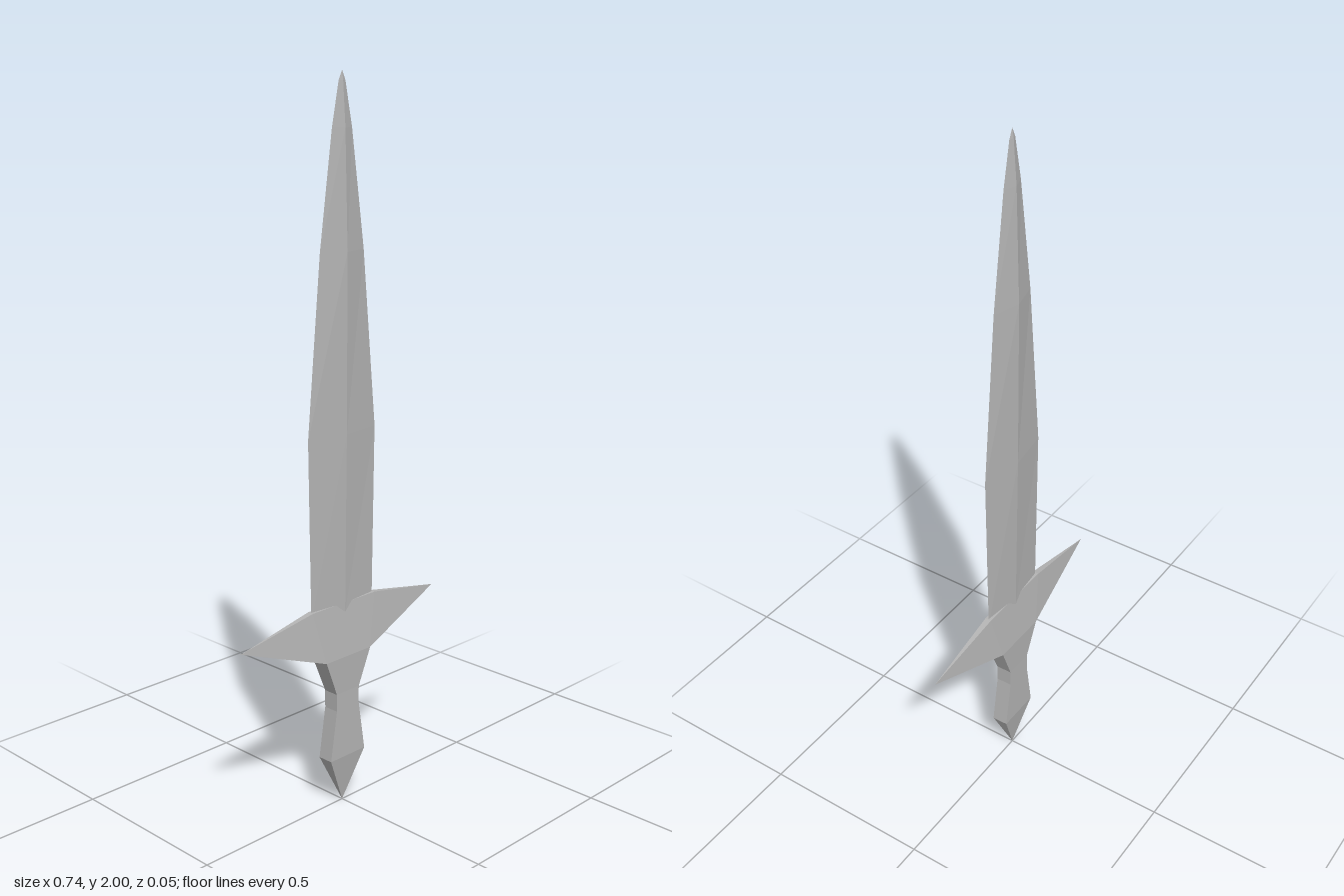
import * as THREE from 'three';
import { ConvexGeometry } from 'three/addons/geometries/ConvexGeometry.js';

// Stack cross-sections [y, halfWidth, halfDepth] of a given outline into a faceted solid
function loft(sections, outline) {
  const rings = sections.map(([y, w, d]) => outline.map(([x, z]) => [x * w, y, z * d]));
  const pos = [];
  const n = outline.length;
  for (let i = 0; i < rings.length - 1; i++) {
    for (let j = 0; j < n; j++) {
      const k = (j + 1) % n;
      const a = rings[i][j], b = rings[i][k], c = rings[i + 1][k], d = rings[i + 1][j];
      pos.push(...a, ...b, ...c, ...a, ...c, ...d);
    }
  }
  const geometry = new THREE.BufferGeometry();
  geometry.setAttribute('position', new THREE.Float32BufferAttribute(pos, 3));
  geometry.computeVertexNormals();
  return geometry;
}

export function createModel() {
  const model = new THREE.Group();
  model.name = 'dagger';
  const steel = new THREE.MeshStandardMaterial({ color: 0xb4b4b4, flatShading: true });
  steel.name = 'grey steel';
  const add = (name, geometry) => {
    const mesh = new THREE.Mesh(geometry, steel);
    mesh.name = name;
    model.add(mesh);
  };

  // Outlines run counter-clockwise seen from below, so faces point outward
  const diamond = [[0, 1], [1, 0], [0, -1], [-1, 0]];
  const rectangle = [[-1, 1], [1, 1], [1, -1], [-1, -1]];

  // Leaf-shaped blade with a central ridge on both sides
  add('blade', loft([
    [0.57, 0.117, 0.012],
    [1.07, 0.125, 0.018],
    [1.55, 0.08, 0.02],
    [1.86, 0.036, 0.012],
    [1.975, 0.012, 0.004],
    [2, 0, 0],
  ], diamond));

  // Crossguard: pointed tips, thick lower edge, thin upper edge
  const guard = [];
  for (const sx of [-1, 1]) {
    guard.push(new THREE.Vector3(0.37 * sx, 0.55, 0));
    for (const sz of [-1, 1]) {
      guard.push(new THREE.Vector3(0.12 * sx, 0.595, 0.009 * sz));
      guard.push(new THREE.Vector3(0.085 * sx, 0.445, 0.026 * sz));
    }
  }
  add('crossguard', new ConvexGeometry(guard));

  // Waisted grip
  add('grip', loft([
    [0.145, 0.066, 0.023],
    [0.29, 0.043, 0.023],
    [0.34, 0.043, 0.023],
    [0.445, 0.085, 0.026],
  ], rectangle));

  // Pointed pommel
  add('pommel', loft([
    [0, 0, 0],
    [0.145, 0.066, 0.023],
  ], rectangle));

  return model;
}
